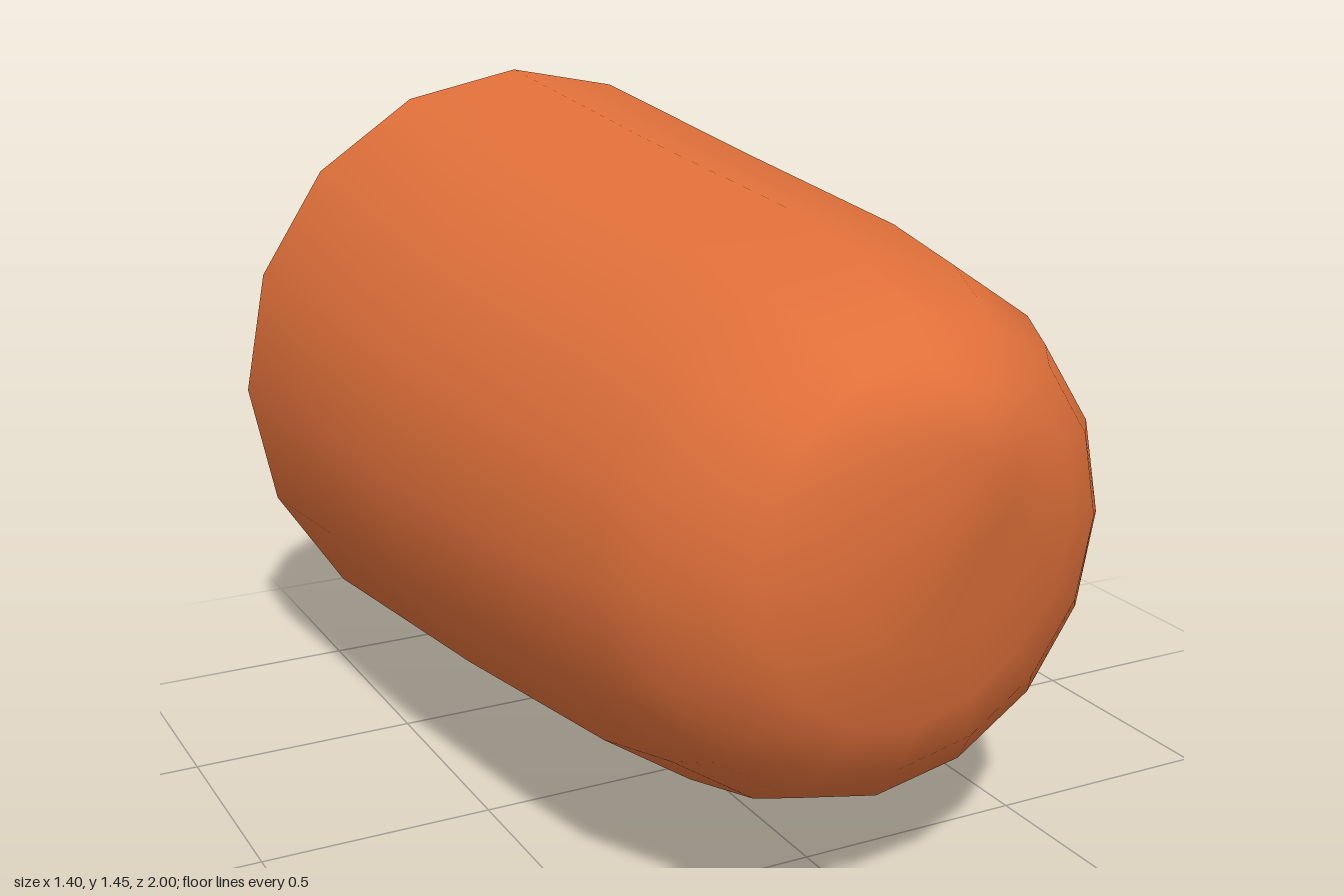
import * as THREE from 'three';

const SIDES = 16;

// Cross-sections from back to front: z, xMin, xMax, yMin, yMax
const SECTIONS = [
  [-0.95, -0.70, 0.70, 0.00, 1.45],
  [-0.20, -0.645, 0.655, 0.07, 1.375],
  [0.37, -0.57, 0.62, 0.12, 1.32],
  [0.62, -0.535, 0.565, 0.19, 1.285],
  [0.75, -0.49, 0.495, 0.25, 1.25],
  [0.85, -0.43, 0.41, 0.35, 1.22],
  [0.92, -0.36, 0.31, 0.46, 1.17],
  [0.965, -0.24, 0.22, 0.62, 1.13],
  [0.995, -0.06, 0.13, 0.83, 1.07],
];

// Slightly wavy back rim, counter-clockwise from +x
const RIM_Z = [-0.97, -0.985, -1, -0.97, -0.945, -0.95, -0.96, -0.965,
  -0.97, -0.96, -0.95, -0.945, -0.94, -0.945, -0.95, -0.96];

// Shallow hollow below the tip
const hollow = (x, y) => 0.04 * Math.exp(-((x - 0.1) ** 2 + (y - 0.62) ** 2) / 0.03);

function geometryFrom(positions, index) {
  const g = new THREE.BufferGeometry();
  g.setAttribute('position', new THREE.Float32BufferAttribute(positions, 3));
  g.setIndex(index);
  return g;
}

// Tapered wall and rounded tip
function bodyGeometry() {
  const positions = [], index = [];
  SECTIONS.forEach(([z, x0, x1, y0, y1], r) => {
    for (let i = 0; i < SIDES; i++) {
      const a = (i / SIDES) * Math.PI * 2;
      const x = (x0 + x1) / 2 + Math.cos(a) * (x1 - x0) / 2;
      const y = (y0 + y1) / 2 + Math.sin(a) * (y1 - y0) / 2;
      positions.push(x, y, r === 0 ? RIM_Z[i] : z - hollow(x, y));
    }
  });
  positions.push(0.06, 0.98, 1);
  const tip = SECTIONS.length * SIDES;
  for (let r = 0; r < SECTIONS.length; r++) {
    for (let i = 0; i < SIDES; i++) {
      const j = (i + 1) % SIDES;
      const a = r * SIDES + i, b = r * SIDES + j;
      if (r === SECTIONS.length - 1) index.push(a, b, tip);
      else index.push(a, b, b + SIDES, a, b + SIDES, a + SIDES);
    }
  }
  const g = geometryFrom(positions, index);
  g.computeVertexNormals();
  return g;
}

// Flat back that carries the wall's soft shading in to its centre
function backGeometry(body) {
  const rim = Array.from(body.attributes.position.array.slice(0, SIDES * 3));
  const rimNormals = Array.from(body.attributes.normal.array.slice(0, SIDES * 3));
  const positions = [...rim], normals = [...rimNormals], index = [];
  for (let i = 0; i < SIDES; i++) {
    const j = (i + 1) % SIDES;
    positions.push(0, 0.725, -0.96);
    const n = new THREE.Vector3().fromArray(rimNormals, i * 3)
      .add(new THREE.Vector3().fromArray(rimNormals, j * 3)).normalize();
    normals.push(n.x, n.y, n.z);
    index.push(j, i, SIDES + i);
  }
  const g = geometryFrom(positions, index);
  g.setAttribute('normal', new THREE.Float32BufferAttribute(normals, 3));
  return g;
}

export function createModel() {
  const group = new THREE.Group();
  const material = new THREE.MeshStandardMaterial({ color: 0xe0703a });
  const bodyGeo = bodyGeometry();

  const body = new THREE.Mesh(bodyGeo, material);
  body.name = 'body';
  const back = new THREE.Mesh(backGeometry(bodyGeo), material);
  back.name = 'backCap';
  group.add(body, back);
  return group;
}
